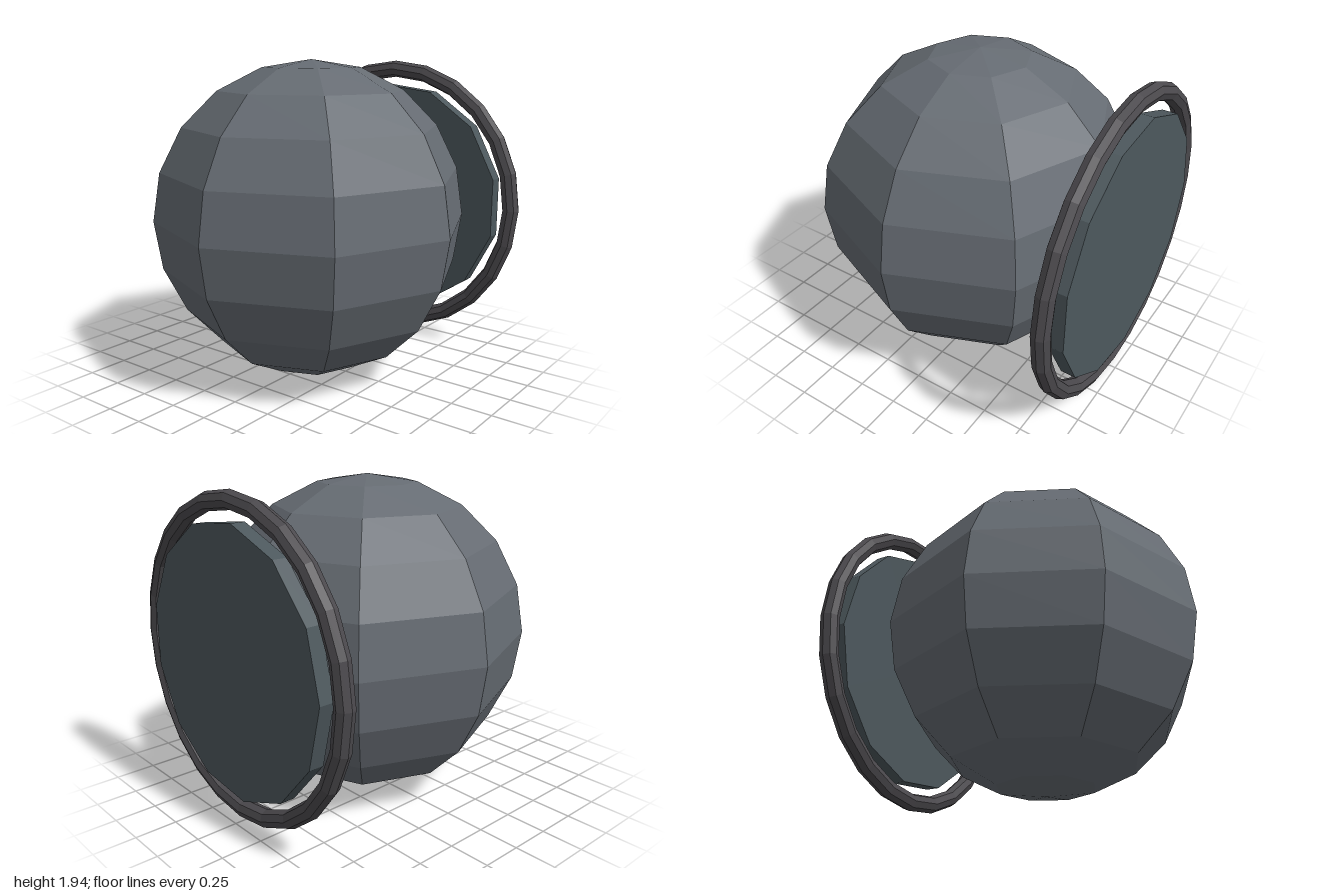
import * as THREE from 'three';

const MID_Y = 0.975;

export function createModel() {
  const group = new THREE.Group();
  const add = (name, geometry, color, x) => {
    const material = new THREE.MeshStandardMaterial({ color, flatShading: true });
    const mesh = new THREE.Mesh(geometry, material);
    mesh.name = name;
    mesh.position.set(x, MID_Y, 0);
    group.add(mesh);
  };

  // Faceted ball
  add('body', new THREE.SphereGeometry(0.97, 8, 10), 0x666c73, -0.03);

  // Ring standing on the left side, its axis along x
  add('ring', new THREE.TorusGeometry(0.895, 0.055, 8, 24).rotateY(Math.PI / 2), 0x4c4a4e, 0.93);

  // Thirteen-sided plate inside the ring, with one corner pointing back
  const plate = new THREE.CylinderGeometry(0.795, 0.795, 0.09, 13, 1, false, Math.PI);
  add('plate', plate.rotateZ(-Math.PI / 2), 0x4d585d, 0.955);

  return group;
}
